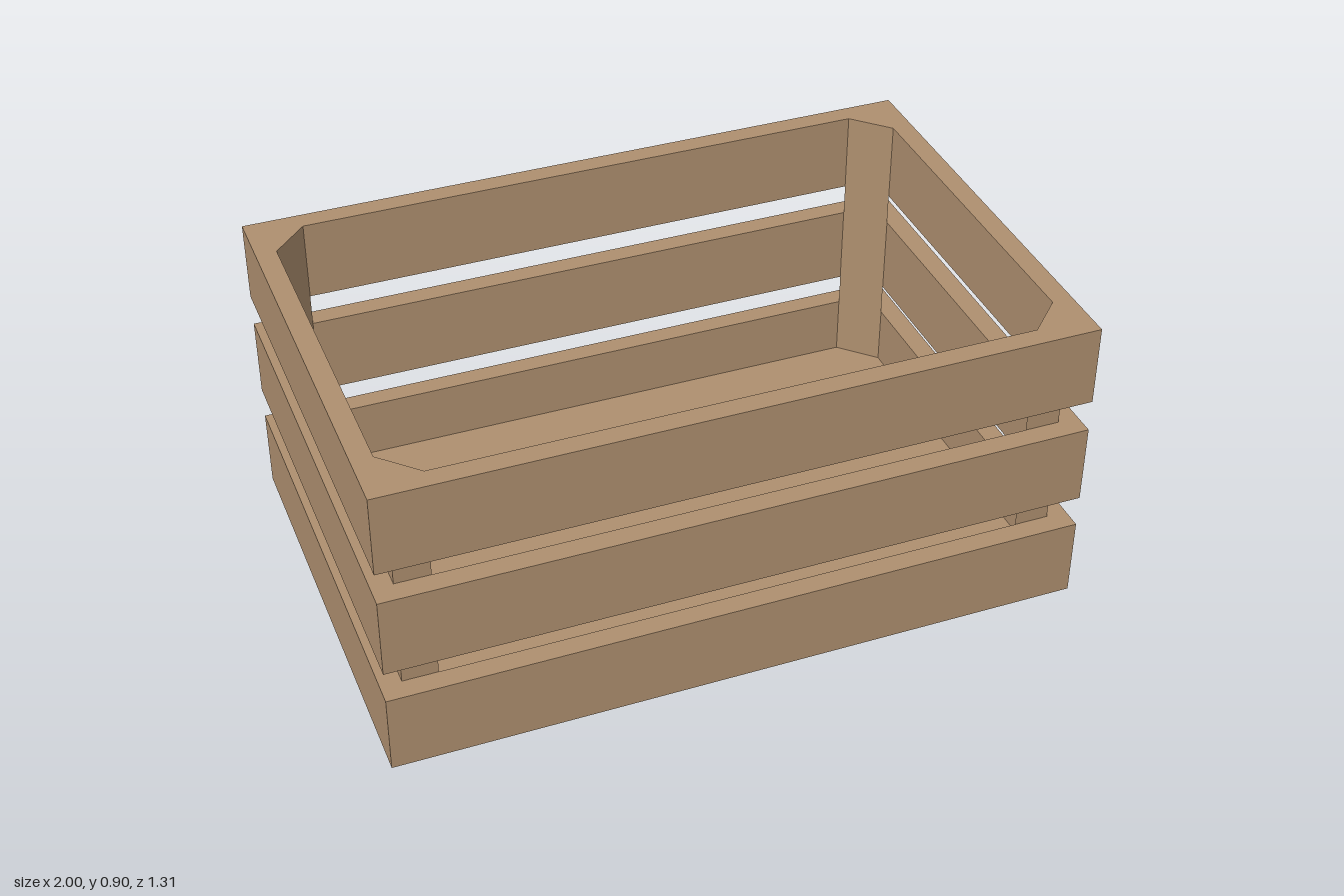
import * as THREE from 'three';

const HX = 1, HZ = 0.655, WALL = 0.06, HEIGHT = 0.9;
const SLAT = 0.237, POST = 0.1, FLOOR = 0.06;

// Extrude a plan outline upwards from y = 0
function extrudeUp(shape, height) {
  const geometry = new THREE.ExtrudeGeometry(shape, { depth: height, bevelEnabled: false });
  return geometry.rotateX(-Math.PI / 2);
}

function rectangle(Type, hx, hz) {
  return new Type([[-hx, -hz], [hx, -hz], [hx, hz], [-hx, hz]].map(([x, z]) => new THREE.Vector2(x, z)));
}

export function createModel() {
  const wood = new THREE.MeshStandardMaterial({ color: 0xae8f6f });
  wood.name = 'wood';
  const crate = new THREE.Group();
  crate.name = 'crate';
  const ix = HX - WALL, iz = HZ - WALL;

  function add(name, geometry, y) {
    const mesh = new THREE.Mesh(geometry, wood);
    mesh.name = name;
    mesh.position.y = y;
    crate.add(mesh);
  }

  // Three slat rings, evenly spaced
  const ring = rectangle(THREE.Shape, HX, HZ);
  ring.holes.push(rectangle(THREE.Path, ix, iz));
  const ringGeometry = extrudeUp(ring, SLAT);
  ['lowerSlats', 'middleSlats', 'upperSlats'].forEach((name, i) => {
    add(name, ringGeometry, i * (HEIGHT - SLAT) / 2);
  });

  // Floor board between the lower slats
  add('floor', extrudeUp(rectangle(THREE.Shape, ix, iz), FLOOR), 0);

  // Triangular posts in the four inner corners
  for (const sx of [-1, 1]) {
    for (const sz of [-1, 1]) {
      const corner = new THREE.Shape([
        new THREE.Vector2(sx * ix, sz * iz),
        new THREE.Vector2(sx * (ix - POST), sz * iz),
        new THREE.Vector2(sx * ix, sz * (iz - POST)),
      ]);
      // Plan y points to the back once extruded upwards
      const name = (sz > 0 ? 'back' : 'front') + (sx > 0 ? 'Left' : 'Right') + 'Post';
      add(name, extrudeUp(corner, HEIGHT - FLOOR), FLOOR);
    }
  }
  return crate;
}
